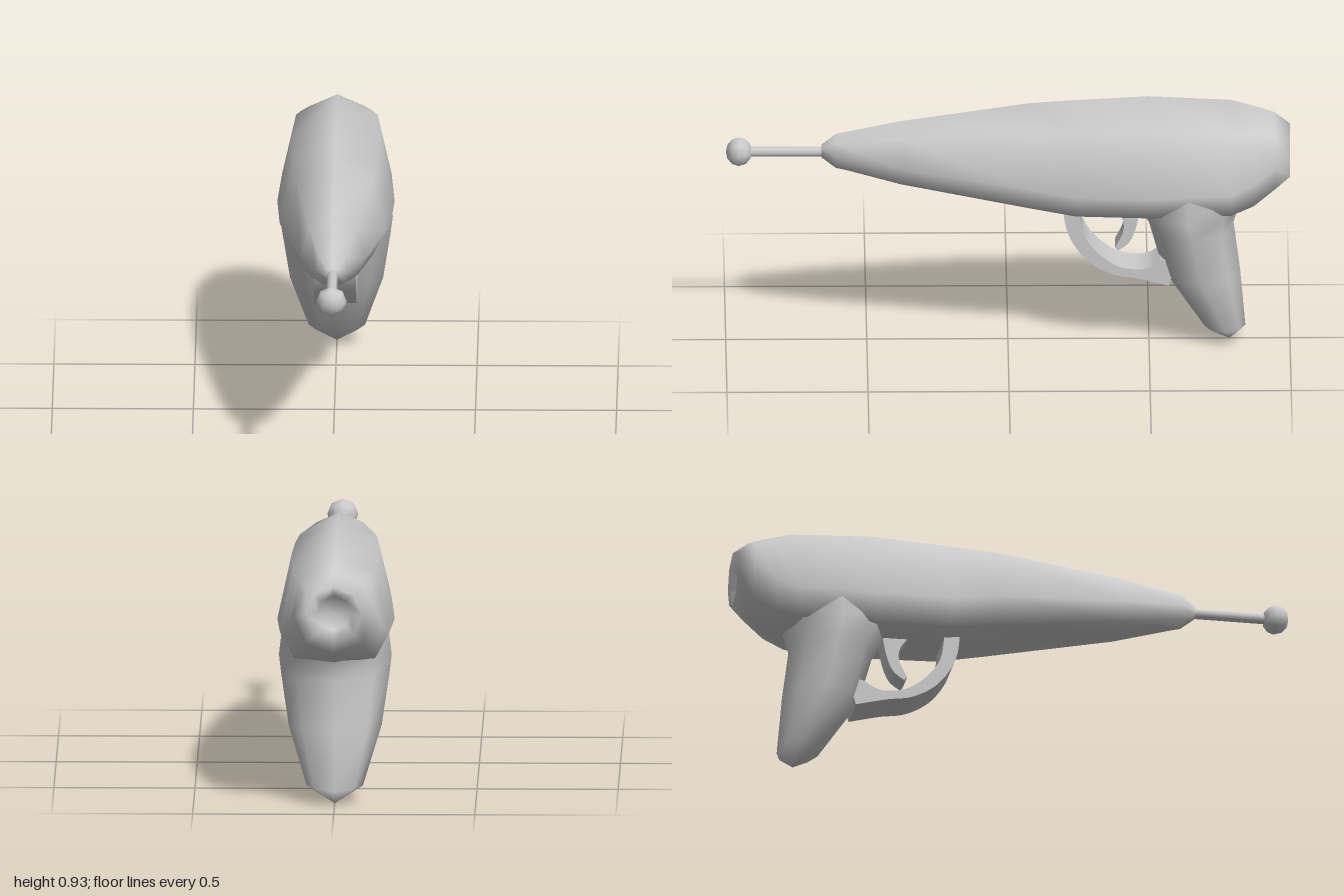
import * as THREE from 'three';
import { mergeVertices, toCreasedNormals } from 'three/addons/utils/BufferGeometryUtils.js';

const material = new THREE.MeshStandardMaterial({ color: 0xcccccc });

// Skins a stack of equal-length rings of [x, y, z] points with smooth normals
function loft(rings) {
  const n = rings[0].length, index = [];
  for (let i = 0; i < rings.length - 1; i++) {
    for (let j = 0; j < n; j++) {
      const a = i * n + j, b = i * n + (j + 1) % n;
      index.push(a, a + n, b, b, a + n, b + n);
    }
  }
  const geometry = new THREE.BufferGeometry();
  geometry.setAttribute('position', new THREE.Float32BufferAttribute(rings.flat(2), 3));
  geometry.setIndex(index);
  const merged = mergeVertices(geometry);
  merged.computeVertexNormals();
  return merged;
}

// Eight-sided hull section: peaked top, wide low flanks, flat belly.
// round = 1 gives a regular octagon, 0 the full mid-body shape.
function hullRing([z, w, top, bottom, round]) {
  const mix = (a, b) => a + (b - a) * round;
  const half = [[0, 0], [mix(0.75, 0.7), mix(0.03, 0.15)], [1, mix(0.25, 0.5)], [mix(0.75, 0.7), mix(0.82, 0.85)], [0, 1]];
  const mirrored = half.slice(1, 4).reverse().map(([x, f]) => [-x, f]);
  return [...half, ...mirrored].map(([x, f]) => [x * w, bottom + f * (top - bottom), z]);
}

// Eight-sided grip section lying across y
function gripRing([y, front, back, w, sideLift = 0]) {
  return Array.from({ length: 8 }, (_, j) => {
    const a = j * Math.PI / 4;
    return [w * Math.cos(a), y + sideLift * Math.abs(Math.cos(a)), (front + back) / 2 - Math.sin(a) * (back - front) / -2 * -1];
  }).map(([x, y2, z], j) => [x, y2, (front + back) / 2 - Math.sin(j * Math.PI / 4) * (front - back) / 2]);
}

// Side outline in (z, y), extruded across x
function plate(shape, width) {
  const geometry = new THREE.ExtrudeGeometry(shape, { depth: width, bevelEnabled: false, curveSegments: 8 });
  geometry.translate(0, 0, -width / 2).rotateY(-Math.PI / 2);
  return toCreasedNormals(geometry, 0.8);
}

function outline(points) {
  return points.map(([z, y]) => new THREE.Vector2(z, y));
}

export function createModel() {
  const group = new THREE.Group();
  const add = (name, geometry) => {
    const mesh = new THREE.Mesh(geometry, material);
    mesh.name = name;
    group.add(mesh);
    return mesh;
  };

  // Tapered body, ending in a dished back: z, half width, top, bottom, roundness
  add('body', loft([
    [0.66, 0, 0.725, 0.725, 1],
    [0.66, 0.025, 0.75, 0.7, 1],
    [0.61, 0.062, 0.79, 0.66, 1],
    [0.38, 0.115, 0.838, 0.606, 0.6],
    [-0.08, 0.184, 0.905, 0.537, 0.2],
    [-0.24, 0.197, 0.916, 0.516, 0.05],
    [-0.5, 0.208, 0.93, 0.513, 0],
    [-0.79, 0.194, 0.915, 0.513, 0.1],
    [-0.87, 0.172, 0.893, 0.53, 0.4],
    [-0.945, 0.143, 0.868, 0.575, 0.8],
    [-1, 0.1, 0.825, 0.62, 1],
    [-0.955, 0.06, 0.785, 0.66, 1],
    [-0.945, 0, 0.72, 0.72, 1],
  ].map(hullRing)));

  // Grip: y, front z, back z, half width, lift of the sides
  add('grip', loft([
    [0.6, -0.42, -0.86, 0.19],
    [0.515, -0.455, -0.82, 0.2],
    [0.45, -0.5, -0.8, 0.192],
    [0.27, -0.55, -0.823, 0.165],
    [0.055, -0.695, -0.842, 0.1, 0.012],
    [0.005, -0.785, -0.785, 0],
  ].map(gripRing)));

  // Trigger guard: a broad curved strap
  const guard = new THREE.Shape();
  guard.moveTo(-0.195, 0.54);
  guard.splineThru(outline([[-0.205, 0.46], [-0.235, 0.39], [-0.29, 0.325], [-0.37, 0.28], [-0.46, 0.263], [-0.57, 0.235]]));
  guard.lineTo(-0.6, 0.34);
  guard.lineTo(-0.54, 0.33);
  guard.splineThru(outline([[-0.5, 0.305], [-0.45, 0.298], [-0.38, 0.315], [-0.31, 0.37], [-0.265, 0.44], [-0.25, 0.54]]));
  add('triggerGuard', plate(guard, 0.15));

  // Curved trigger
  const trigger = new THREE.Shape();
  trigger.moveTo(-0.37, 0.53);
  trigger.splineThru(outline([[-0.405, 0.48], [-0.408, 0.43], [-0.38, 0.37]]));
  trigger.lineTo(-0.39, 0.358);
  trigger.splineThru(outline([[-0.43, 0.39], [-0.455, 0.45], [-0.47, 0.53]]));
  add('trigger', plate(trigger, 0.09));

  // Muzzle rod and ball tip
  const rod = add('muzzleRod', new THREE.CylinderGeometry(0.019, 0.019, 0.3, 8).rotateX(Math.PI / 2));
  rod.position.set(0, 0.723, 0.78);
  const ball = add('muzzleBall', new THREE.SphereGeometry(0.055, 8, 6).rotateX(Math.PI / 2));
  ball.scale.z = 0.85;
  ball.position.set(0, 0.723, 0.953);

  return group;
}
